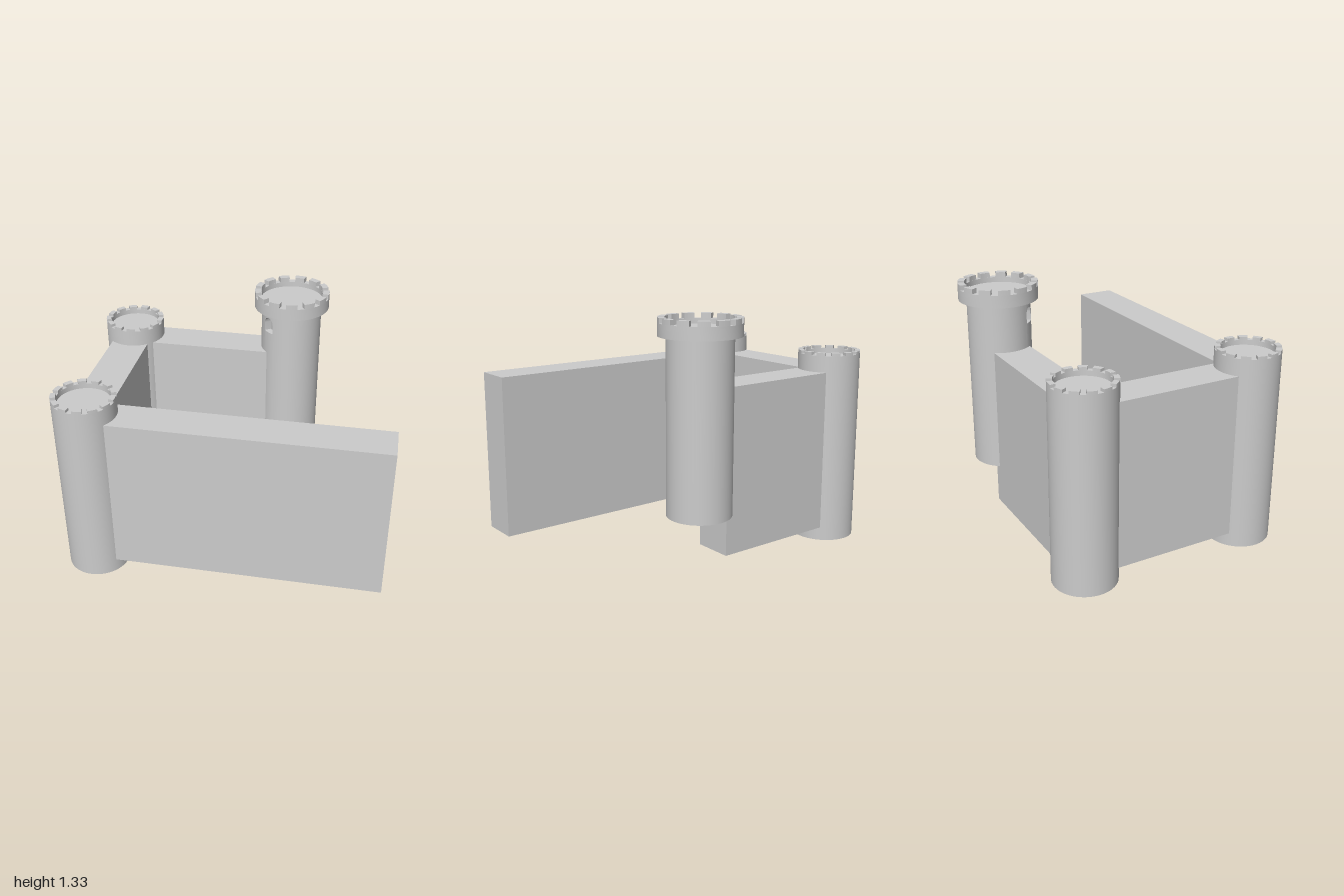
import * as THREE from 'three';
import { toCreasedNormals } from 'three/addons/utils/BufferGeometryUtils.js';

const material = new THREE.MeshStandardMaterial({ color: 0xcccccc });
const SEGMENTS = 48;

function addMesh(parent, name, geometry) {
  const mesh = new THREE.Mesh(geometry, material);
  mesh.name = name;
  parent.add(mesh);
  return mesh;
}

// Revolved profile of [radius, height] pairs with crisp edges
function lathe(profile, start = 0, length = Math.PI * 2) {
  const points = profile.map(([r, y]) => new THREE.Vector2(r, y));
  return toCreasedNormals(new THREE.LatheGeometry(points, SEGMENTS, start, length), 0.6);
}

// Ring of merlons standing on the parapet
function addMerlons(tower, outer, inner, base, height, count = 13) {
  const step = (Math.PI * 2) / count;
  const half = step * 0.31;
  const shape = new THREE.Shape();
  shape.absarc(0, 0, outer, -half, half, false);
  shape.absarc(0, 0, inner, half, -half, true);
  shape.closePath();
  const geometry = new THREE.ExtrudeGeometry(shape, { depth: height, bevelEnabled: false, curveSegments: 4 });
  geometry.rotateX(-Math.PI / 2);
  for (let i = 0; i < count; i++) {
    const merlon = addMesh(tower, 'merlon', geometry);
    merlon.position.y = base;
    merlon.rotation.y = (i + 0.5) * step;
  }
}

// Strip of the shaft holding a recessed arched window
function windowStrip(radius, bottom, top, angle, half) {
  const sill = 1.11, spring = 1.16, rise = 0.04, depth = 0.04, columns = 12;
  const positions = [], indices = [];
  const rows = 6;
  const addColumn = (u, back) => {
    const arch = spring + rise * Math.sqrt(Math.max(0, 1 - u * u));
    const a = angle + u * half;
    const section = [[radius, bottom], [radius, sill], [back, sill], [back, arch], [radius, arch], [radius, top]];
    for (const [r, y] of section) positions.push(r * Math.sin(a), y, r * Math.cos(a));
  };
  // The doubled end columns form the window jambs
  addColumn(-1, radius);
  for (let i = 0; i <= columns; i++) addColumn(-Math.cos((i / columns) * Math.PI), radius - depth);
  addColumn(1, radius);
  for (let i = 0; i < columns + 2; i++) {
    for (let j = 0; j < rows - 1; j++) {
      const a = i * rows + j, b = a + rows;
      indices.push(a, b, a + 1, b, b + 1, a + 1);
    }
  }
  const geometry = new THREE.BufferGeometry();
  geometry.setAttribute('position', new THREE.Float32BufferAttribute(positions, 3));
  geometry.setIndex(indices);
  return toCreasedNormals(geometry, 0.6);
}

// Plain corner tower with a sunken roof
function cornerTower(name, x, z) {
  const tower = new THREE.Group();
  tower.name = name;
  tower.position.set(x, 0, z);
  const r = 0.1725, inner = 0.143, rim = 1.067;
  addMesh(tower, 'towerBody', lathe([[0, 0], [r, 0], [r, rim], [inner, rim], [inner, 1.04], [0, 1.04]]));
  addMerlons(tower, r, inner, rim, 0.016);
  return tower;
}

// Raised tower with a wider crown and one window
function tallTower(x, z) {
  const tower = new THREE.Group();
  tower.name = 'tallTower';
  tower.position.set(x, 0, z);
  const r = 0.173, bottom = 0.3, neck = 1.235, crown = 0.216, inner = 0.18, rim = 1.303;
  const angle = -0.5, half = 0.21;
  addMesh(tower, 'shaft', lathe([[r, bottom], [r, neck]], angle + half, Math.PI * 2 - 2 * half));
  addMesh(tower, 'windowStrip', windowStrip(r, bottom, neck, angle, half));
  addMesh(tower, 'shaftBase', lathe([[0, bottom], [r, bottom]]));
  addMesh(tower, 'crown', lathe([[0, neck], [crown, neck], [crown, rim], [inner, rim], [inner, 1.275], [0, 1.275]]));
  addMerlons(tower, crown, inner, rim, 0.027);
  return tower;
}

// Straight wall between two ground points [x, z], trimmed at both ends
function addWall(parent, name, from, to, trimStart, trimEnd) {
  const a = new THREE.Vector3(from[0], 0, from[1]);
  const b = new THREE.Vector3(to[0], 0, to[1]);
  const direction = b.clone().sub(a).normalize();
  a.addScaledVector(direction, trimStart);
  b.addScaledVector(direction, -trimEnd);
  const wall = addMesh(parent, name, new THREE.BoxGeometry(a.distanceTo(b), 0.9, 0.216));
  wall.position.copy(a).add(b).multiplyScalar(0.5).setY(0.525);
  wall.rotation.y = Math.atan2(-direction.z, direction.x);
}

export function createModel() {
  const model = new THREE.Group();
  model.name = 'castle';
  const back = [-0.828, -0.324], front = [-0.605, 0.603];
  model.add(cornerTower('backTower', ...back), cornerTower('frontTower', ...front), tallTower(0.095, -0.563));
  addWall(model, 'frontWall', front, [0.974, 0.215], 0.12, 0);
  addWall(model, 'sideWall', back, front, 0.12, 0.12);
  addWall(model, 'backWall', back, [-0.004, -0.527], 0.12, 0);
  return model;
}
